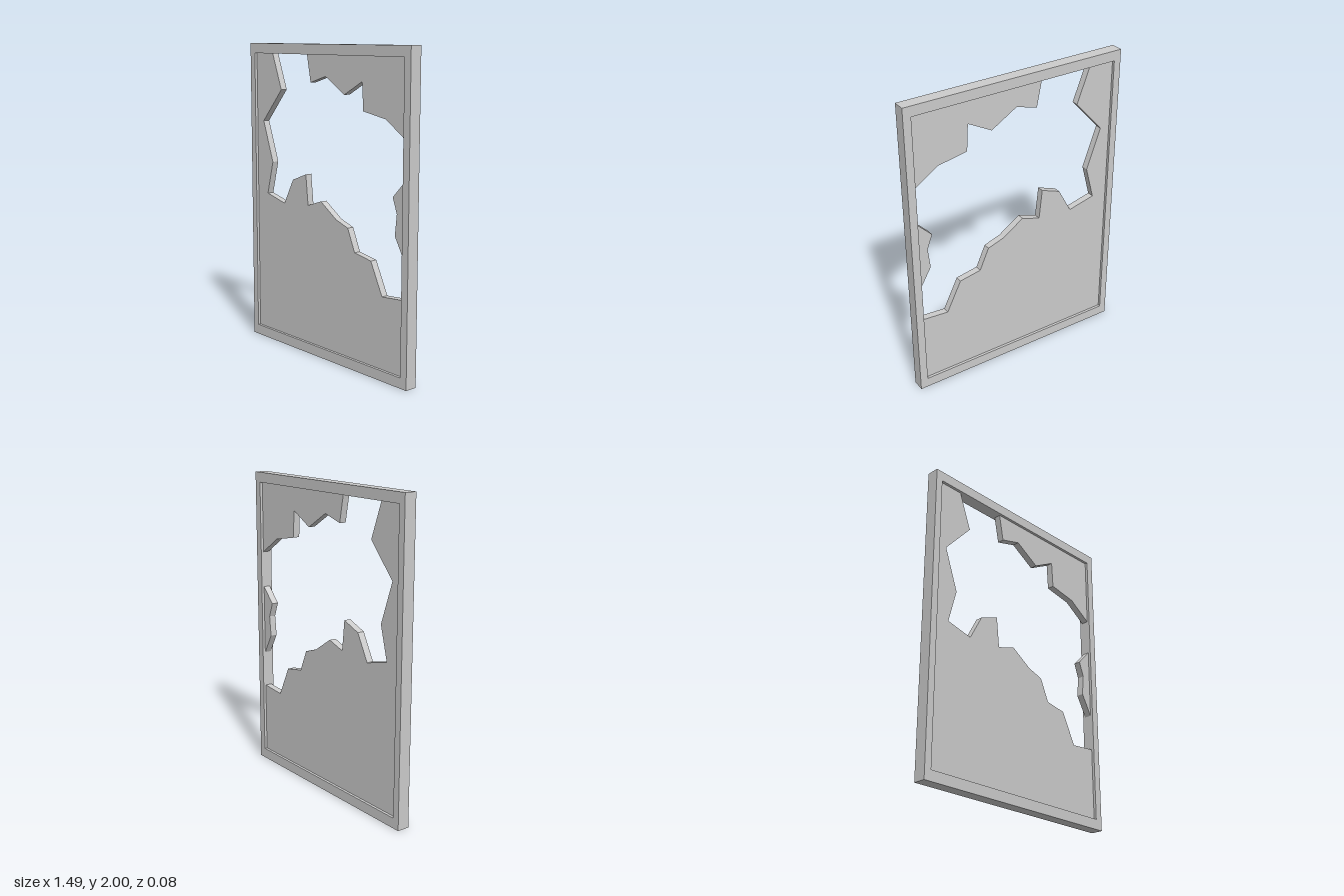
import * as THREE from 'three';

const material = new THREE.MeshStandardMaterial({ color: 0xcccccc, flatShading: true });

// Inner edges of the frame
const L = -0.698, R = 0.694, B = 0.066, T = 1.935;

const shapeOf = (points) => new THREE.Shape(points.map(([x, y]) => new THREE.Vector2(x, y)));

// Flat slab centred on z = 0
function slab(name, shape, depth) {
  const geometry = new THREE.ExtrudeGeometry(shape, { depth, bevelEnabled: false });
  geometry.translate(0, 0, -depth / 2);
  const mesh = new THREE.Mesh(geometry, material);
  mesh.name = name;
  return mesh;
}

export function createModel() {
  const group = new THREE.Group();
  group.name = 'brokenWindow';

  // Rectangular frame with an open centre
  const frame = shapeOf([[-0.745, 0], [0.745, 0], [0.745, 2], [-0.745, 2]]);
  frame.holes.push(shapeOf([[L, B], [L, T], [R, T], [R, B]]));
  group.add(slab('frame', frame, 0.08));

  // Jagged remains of the pane, set back from both faces of the frame
  const shards = {
    lowerPane: [
      [L, B], [L, T], [-0.527, T], [-0.44, 1.704], [-0.632, 1.49], [-0.537, 1.222],
      [-0.595, 1.005], [-0.415, 0.961], [-0.325, 1.127], [-0.193, 1.177], [-0.172, 0.979],
      [-0.045, 1.021], [0.1, 0.926], [0.209, 0.889], [0.272, 0.746], [0.417, 0.72],
      [0.516, 0.519], [R, 0.534], [R, B],
    ],
    upperShard: [
      [-0.177, T], [-0.143, 1.762], [0, 1.804], [0.172, 1.7], [0.331, 1.786],
      [0.341, 1.612], [0.534, 1.577], [R, 1.471], [R, T],
    ],
    sideShard: [[R, 1.233], [0.597, 1.132], [0.632, 1.037], [0.618, 0.905], [R, 0.772]],
  };
  for (const [name, points] of Object.entries(shards)) {
    group.add(slab(name, shapeOf(points), 0.045));
  }
  return group;
}
